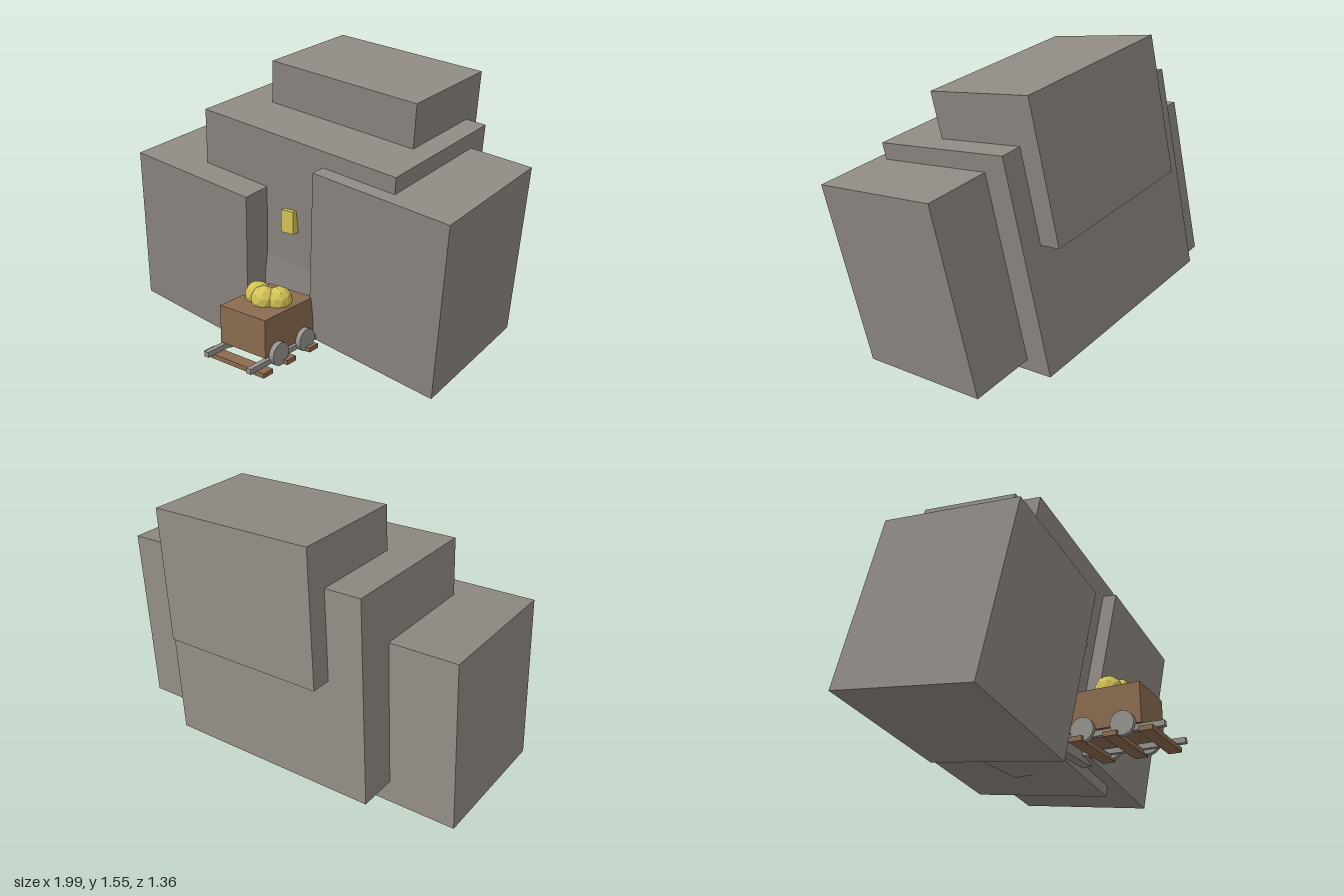
import * as THREE from 'three';

const mat = (name, color) => {
  const m = new THREE.MeshStandardMaterial({ color });
  m.name = name;
  return m;
};

export function createModel() {
  const model = new THREE.Group();
  model.name = 'mine';
  const rock = mat('rock grey', 0x8f8983);
  const wood = mat('wood brown', 0x8b6b50);
  const metal = mat('metal grey', 0x96938f);
  const gold = mat('gold', 0xd3c256);
  gold.flatShading = true;

  const add = (name, geometry, material, x, y, z) => {
    const mesh = new THREE.Mesh(geometry, material);
    mesh.name = name;
    mesh.position.set(x, y, z);
    model.add(mesh);
    return mesh;
  };
  const box = (name, material, [w, h, d], [x, y, z]) =>
    add(name, new THREE.BoxGeometry(w, h, d), material, x, y, z);

  // Leaning boulders, each placed by its top front right-hand (-x) corner
  const lean = new THREE.Euler(THREE.MathUtils.degToRad(8), 0, THREE.MathUtils.degToRad(-8), 'ZXY');
  const boulder = (name, [w, h, d], [x, y, z]) => {
    const toCentre = new THREE.Vector3(w / 2, -h / 2, -d / 2).applyEuler(lean);
    const mesh = box(name, rock, [w, h, d], [x + toCentre.x, y + toCentre.y, z + toCentre.z]);
    mesh.rotation.copy(lean);
  };
  boulder('rightBoulder', [0.77, 0.88, 0.73], [-0.873, 0.97, 0.37]);
  boulder('leftBoulder', [0.73, 0.92, 0.73], [0.263, 1.037, 0.322]);
  boulder('mainBoulder', [1.167, 1.06, 0.78], [-0.48, 1.235, 0.26]);
  boulder('topBoulder', [0.87, 0.68, 0.585], [-0.257, 1.47, -0.005]);

  // Upright block at the foot of the cleft
  box('cleftBlock', rock, [0.414, 0.43, 0.43], [0.03, 0.325, -0.05]);

  // Gold piece set in the wall
  box('goldPiece', gold, [0.075, 0.115, 0.1], [0.033, 0.732, 0.185]);

  // Track
  for (const x of [-0.105, 0.17]) box('rail', metal, [0.027, 0.027, 0.66], [x, 0.148, 0.35]);
  for (let i = 0; i < 4; i++) {
    box('sleeper', wood, [0.385, 0.024, 0.066], [0.033, 0.124, 0.605 - i * 0.17]);
  }

  // Cart with four wheels
  box('cartBody', wood, [0.288, 0.195, 0.36], [0.033, 0.268, 0.39]);
  const wheel = new THREE.CylinderGeometry(0.058, 0.058, 0.028, 24).rotateZ(Math.PI / 2);
  for (const x of [-0.125, 0.19]) {
    for (const z of [0.29, 0.487]) add('wheel', wheel, metal, x, 0.171, z);
  }

  // Nuggets heaped in the cart
  const nugget = new THREE.IcosahedronGeometry(0.067, 1);
  [[-0.03, 0.385], [0.033, 0.412], [0.095, 0.372]].forEach(([x, z], i) => {
    add('nugget', nugget, gold, x, 0.385, z).rotation.set(0.3 * i, 0.7 * i, 0.2);
  });

  return model;
}
